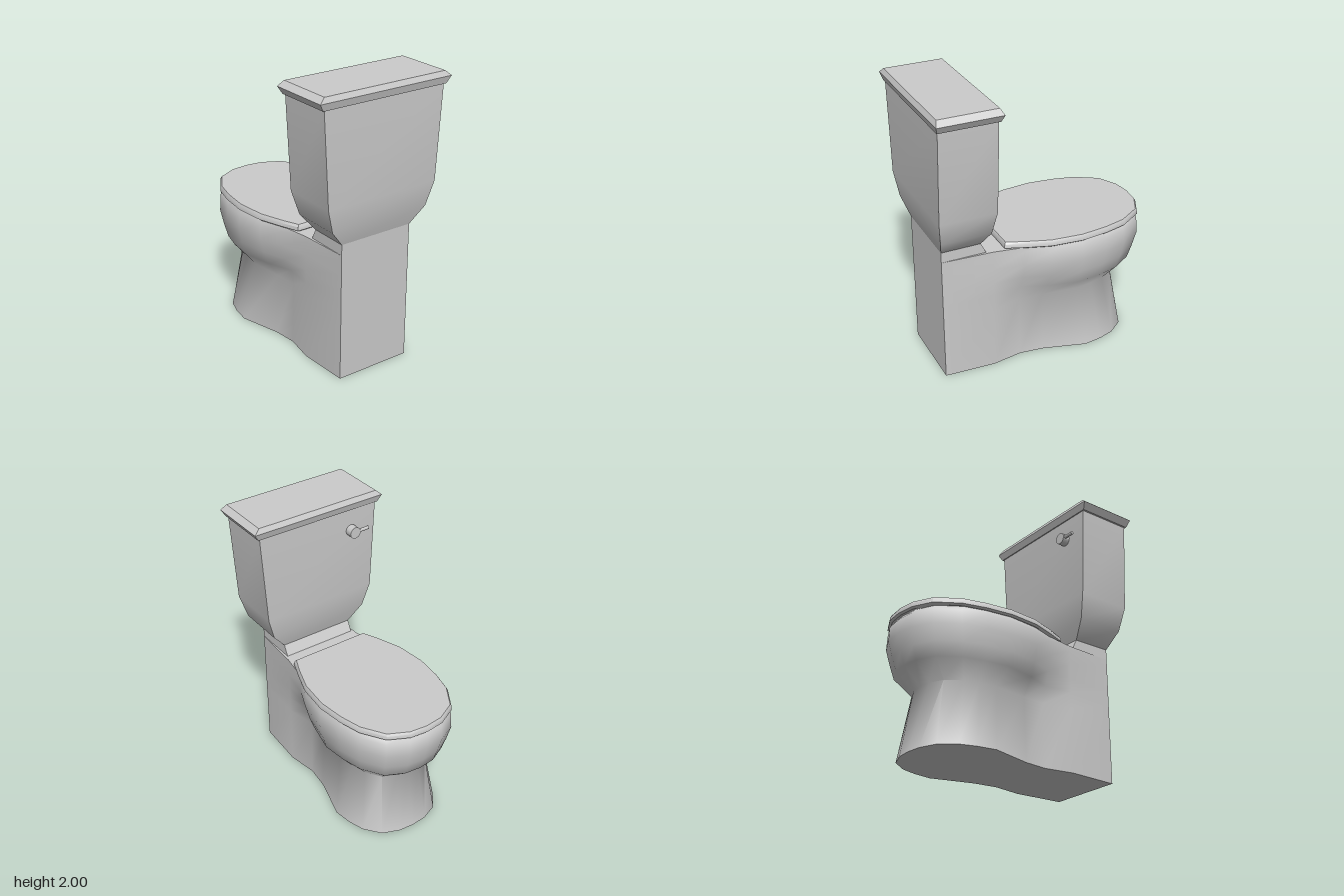
import * as THREE from 'three';
import { toCreasedNormals } from 'three/addons/utils/BufferGeometryUtils.js';

const material = new THREE.MeshStandardMaterial({ color: 0xcccccc });

// Completes a half outline (back to front on the +x side) into a closed ring
function mirrorRing(half) {
  const other = half.filter(p => p[0] > 0).reverse().map(([x, z]) => [-x, z]);
  return [...half, ...other];
}

// Skins a stack of levels { y, half } and caps both ends
function loft(name, levels, crease) {
  const rings = levels.map(l => mirrorRing(l.half));
  const n = rings[0].length;
  const pos = [], index = [];
  rings.forEach((ring, k) => ring.forEach(([x, z]) => pos.push(x, levels[k].y, z)));
  for (let k = 0; k < rings.length - 1; k++) {
    for (let i = 0; i < n; i++) {
      const j = (i + 1) % n;
      const a = k * n + i, b = k * n + j, c = b + n, d = a + n;
      index.push(a, b, c, a, c, d);
    }
  }
  const cap = (k, up) => {
    const flat = rings[k].map(([x, z]) => new THREE.Vector2(x, -z));
    for (const [a, b, c] of THREE.ShapeUtils.triangulateShape(flat, [])) {
      index.push(k * n + a, k * n + (up ? b : c), k * n + (up ? c : b));
    }
  };
  cap(0, false);
  cap(rings.length - 1, true);
  const geometry = new THREE.BufferGeometry();
  geometry.setAttribute('position', new THREE.Float32BufferAttribute(pos, 3));
  geometry.setIndex(index);
  const mesh = new THREE.Mesh(toCreasedNormals(geometry.toNonIndexed(), crease), material);
  mesh.name = name;
  return mesh;
}

// Rectangular level: half width, back z, front z
const box = (y, w, back, front) => ({ y, half: [[w, back], [w, front]] });

// Rounded front half shared by bowl and lid, as fractions of width and depth
const OVAL = [[1, 0], [0.95, 0.32], [0.856, 0.59], [0.625, 0.858], [0.3, 0.975], [0, 1]];
const oval = (w, zc, front) => OVAL.map(([x, t]) => [x * w, zc + (front - zc) * t]);

export function createModel() {
  const model = new THREE.Group();
  model.name = 'toilet';

  // Pedestal and bowl: y, half width, widest z, front z, half widths at z = 0 and z = 0.17
  const bowlLevels = [
    [0, 0.365, -0.3, -0.71, 0.28, 0.26],
    [0.45, 0.295, -0.25, -0.635, 0.262, 0.25],
    [0.565, 0.39, -0.22, -0.76, 0.34, 0.275],
    [0.66, 0.415, -0.22, -0.79, 0.375, 0.31],
    [0.77, 0.437, -0.22, -0.82, 0.405, 0.335],
    [0.87, 0.43, -0.22, -0.815, 0.4, 0.335],
    [0.905, 0.41, -0.22, -0.785, 0.385, 0.33],
  ].map(([y, w, zc, front, x0, x1]) => ({
    y,
    half: [[0.275, 0.74], [0.295, 0.38], [x1, 0.17], [x0, 0], ...oval(w, zc, front)],
  }));
  model.add(loft('bowlAndPedestal', bowlLevels, 1.05));

  // Neck joining the bowl shelf to the tank
  model.add(loft('tankNeck', [
    box(0.9, 0.275, 0.74, 0.42),
    box(0.98, 0.275, 0.74, 0.46),
  ], 0.6));

  // Seat lid with a slightly bevelled edge
  const lidLevel = (y, inset) => ({
    y,
    half: [[0.3 - inset, 0.3 - inset], [0.35 - inset, 0.17], [0.408 - inset, 0],
      ...oval(0.43 - inset, -0.22, -0.818 + inset)],
  });
  model.add(loft('seatLid', [
    lidLevel(0.904, 0.015), lidLevel(0.915, 0), lidLevel(0.94, 0.002), lidLevel(0.955, 0.012),
  ], 0.6));

  // Tank, tapering in at the bottom
  model.add(loft('tank', [
    box(0.98, 0.275, 0.74, 0.46),
    box(1.1, 0.375, 0.777, 0.423),
    box(1.27, 0.425, 0.8, 0.4),
    box(1.92, 0.462, 0.8, 0.4),
  ], 0.8));

  // Tank lid with a pointed rim
  model.add(loft('tankLid', [
    box(1.915, 0.475, 0.808, 0.392),
    box(1.965, 0.505, 0.822, 0.377),
    box(2, 0.465, 0.805, 0.395),
  ], 0.5));

  // Flush handle: round knob with a thin lever
  const handle = new THREE.Group();
  handle.name = 'flushHandle';
  handle.position.set(-0.262, 1.757, 0.38);
  const knob = new THREE.Mesh(new THREE.CylinderGeometry(0.042, 0.042, 0.07, 12), material);
  knob.name = 'handleKnob';
  knob.rotation.x = Math.PI / 2;
  const lever = new THREE.Mesh(new THREE.CylinderGeometry(0.012, 0.012, 0.12, 8), material);
  lever.name = 'handleLever';
  lever.rotation.z = Math.PI / 2;
  lever.position.set(-0.058, 0, -0.018);
  handle.add(knob, lever);
  model.add(handle);

  return model;
}
